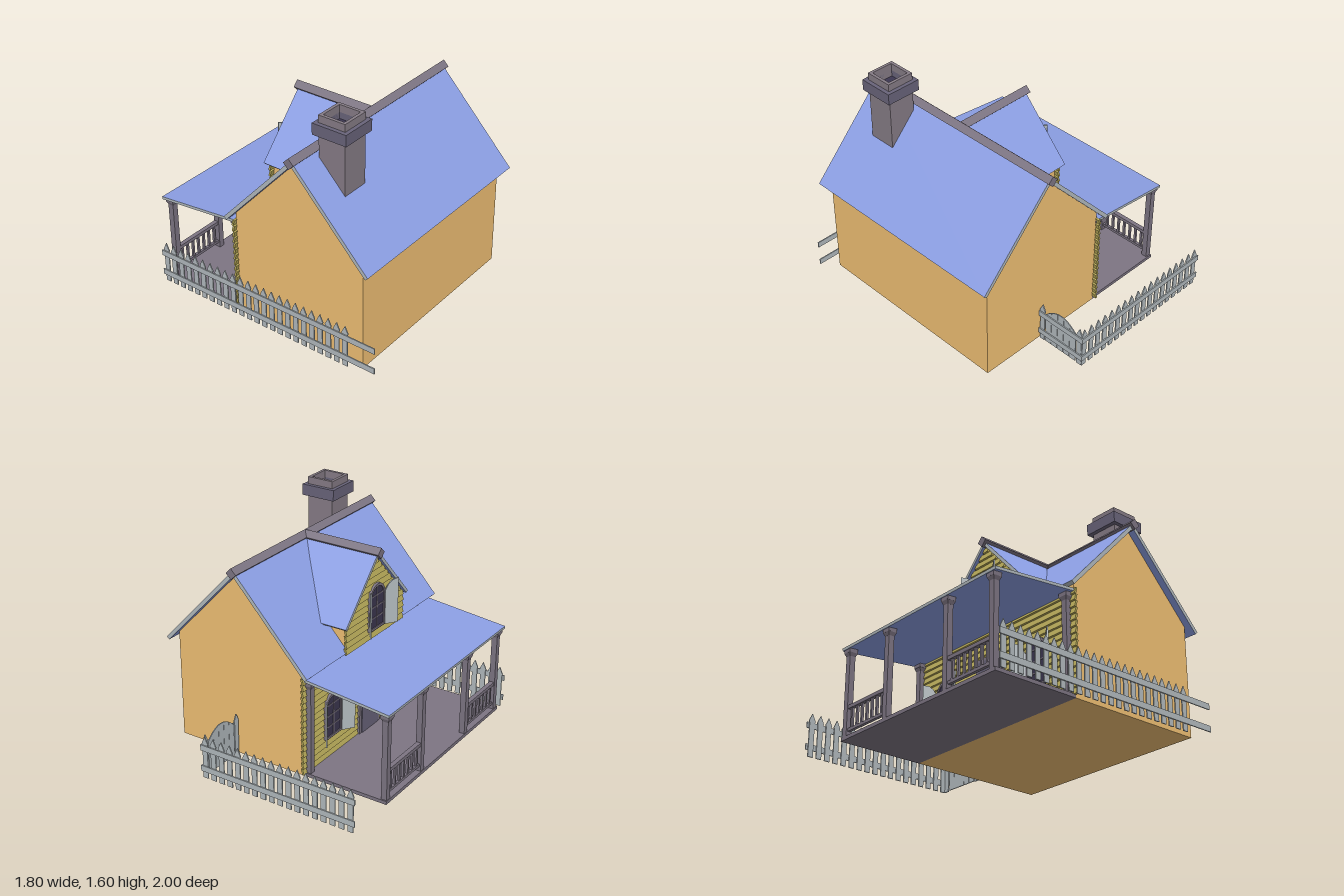
import * as THREE from 'three';

const mat = (color) => new THREE.MeshStandardMaterial({ color, flatShading: true });

export function createModel() {
  const M = {
    wall: mat(0xf0c074), siding: mat(0xbcae5c), roof: mat(0x8c9fe4), trim: mat(0xb2babe),
    wood: mat(0x7d7583), brick: mat(0x867c86), band: mat(0x69647a), glass: mat(0x3c3650),
  };
  const model = new THREE.Group();
  model.name = 'cottage';

  const add = (parent, name, geo, material, x = 0, y = 0, z = 0) => {
    const m = new THREE.Mesh(geo, material);
    m.name = name;
    m.position.set(x, y, z);
    parent.add(m);
    return m;
  };
  // box given by its limits
  const box = (parent, name, material, x1, x2, y1, y2, z1, z2) =>
    add(parent, name, new THREE.BoxGeometry(x2 - x1, y2 - y1, z2 - z1), material,
      (x1 + x2) / 2, (y1 + y2) / 2, (z1 + z2) / 2);
  const shapeOf = (pts) => new THREE.Shape(pts.map((p) => new THREE.Vector2(...p)));
  const extrude = (shape, depth) =>
    new THREE.ExtrudeGeometry(shape, { depth, bevelEnabled: false, curveSegments: 10 });
  const group = (name, parent = model, x = 0, y = 0, z = 0) => {
    const g = new THREE.Group();
    g.name = name;
    g.position.set(x, y, z);
    parent.add(g);
    return g;
  };

  // House body and main roof
  add(model, 'houseWalls', extrude(shapeOf(
    [[-0.25, 0], [0.77, 0], [0.77, 0.79], [0.26, 1.335], [-0.25, 0.79]]), 1.53), M.wall, 0, 0, -0.6);

  // sloping slab whose top runs from (x1,y1) to (x2,y2)
  const slab = (name, x1, y1, x2, y2, t, z1, z2) => {
    const a = Math.atan2(y2 - y1, x2 - x1);
    const geo = new THREE.BoxGeometry(Math.hypot(x2 - x1, y2 - y1), t, z2 - z1);
    const m = add(model, name, geo, [M.trim, M.trim, M.roof, M.roof, M.trim, M.trim],
      (x1 + x2) / 2 + Math.sin(a) * t / 2, (y1 + y2) / 2 - Math.cos(a) * t / 2, (z1 + z2) / 2);
    m.rotation.z = a;
  };
  slab('roofLeft', 0.26, 1.365, 0.84, 0.75, 0.027, -0.65, 0.98);
  slab('roofRight', -0.31, 0.75, 0.26, 1.365, 0.027, -0.65, 0.98);
  slab('porchRoof', -0.9, 0.66, -0.25, 0.727, 0.02, -0.615, 0.945);
  box(model, 'ridgeCap', M.wood, -0.028, 0.028, -0.028, 0.028, -0.67, 1.0).rotation.z = Math.PI / 4;
  model.children.at(-1).position.set(0.26, 1.35, 0.165);

  // Dormer
  const dormer = group('dormer', model, 0, 0, 0.16);
  const dWall = add(dormer, 'dormerWalls', extrude(shapeOf(
    [[-0.33, 0.72], [0.33, 0.72], [0.33, 0.97], [0, 1.325], [-0.33, 0.97]]), 0.44), M.wall, -0.295);
  dWall.rotation.y = Math.PI / 2;
  const run = 0.392, drop = 0.42, L = Math.hypot(run, drop);
  const panel = extrude(shapeOf([[-0.33, 0], [-0.33, -L], [-0.12, -L], [0.25, 0]]), 0.022);
  panel.translate(0, 0, -0.022);
  for (const s of [1, -1]) {
    const side = group('dormerRoofSide', dormer, 0, 1.36, 0);
    side.scale.z = s;
    add(side, 'dormerRoof', panel, [M.roof, M.trim]).rotation.x = -Math.atan2(run, drop);
  }
  const cap = box(dormer, 'dormerRidgeCap', M.wood, -0.35, 0.26, -0.028, 0.028, -0.028, 0.028);
  cap.position.y = 1.35;
  cap.rotation.x = Math.PI / 4;

  // Lapped siding boards; halfWidth depends on height
  const siding = (parent, name, x, y1, y2, rows, halfWidth) => {
    const h = (y2 - y1) / rows;
    for (let i = 0; i < rows; i++) {
      const y = y1 + i * h, w = halfWidth(y + h);
      if (w < 0.02) continue;
      add(parent, name, new THREE.BoxGeometry(0.014, h * 1.02, 2 * w), M.siding, x, y + h / 2, 0)
        .rotation.z = -0.28;
    }
  };
  siding(group('porchSiding', model, 0, 0, 0.1635), 'sidingBoard', -0.256, 0.02, 0.73, 16, () => 0.793);
  siding(dormer, 'dormerBoard', -0.306, 0.74, 1.32, 13, (y) => Math.min(0.36, (1.345 - y) * 0.93));

  // Arched windows with open shutters, built facing +z and turned to face -x
  const arch = (w, side, top) => {
    const s = new THREE.Shape();
    s.moveTo(-w, 0);
    s.lineTo(w, 0);
    s.lineTo(w, side);
    s.quadraticCurveTo(w * 0.75, top, 0, top);
    s.quadraticCurveTo(-w * 0.75, top, -w, side);
    return s;
  };
  const shutterShape = shapeOf([[0, 0], [0.095, 0], [0.095, 0.33], [0.05, 0.318], [0.02, 0.29], [0, 0.25]]);
  const addWindow = (x, y, z) => {
    const w = group('window', model, x, y, z);
    w.rotation.y = -Math.PI / 2;
    const frame = arch(0.095, 0.25, 0.33);
    const hole = arch(0.08, 0.245, 0.312);
    frame.holes.push(new THREE.Path(hole.getPoints(10).map((p) => p.setY(Math.max(p.y, 0.016)))));
    add(w, 'windowFrame', extrude(frame, 0.022), M.wood);
    add(w, 'windowPane', extrude(arch(0.085, 0.247, 0.32), 0.015), M.glass);
    box(w, 'windowBar', M.wood, -0.004, 0.004, 0.01, 0.32, 0.012, 0.019);
    for (const by of [0.09, 0.17, 0.25]) box(w, 'windowBar', M.wood, -0.085, 0.085, by - 0.004, by + 0.004, 0.012, 0.019);
    for (const s of [1, -1]) {
      const half = group('shutterHinge', w);
      half.scale.x = s;
      add(half, 'shutter', extrude(shutterShape, 0.01), M.trim, 0.095, 0, 0.018).rotation.y = -0.6;
    }
  };
  addWindow(-0.308, 0.8, 0.16);
  addWindow(-0.26, 0.17, -0.29);
  addWindow(-0.26, 0.17, 0.61);

  // Front door
  box(model, 'doorFrame', M.wood, -0.28, -0.25, 0.02, 0.53, 0.03, 0.29);
  box(model, 'door', M.band, -0.285, -0.25, 0.02, 0.505, 0.055, 0.265);

  // Porch floor, posts and railings
  box(model, 'porchFloor', M.wood, -0.885, -0.25, 0, 0.025, -0.6, 0.93);
  const post = (x, z, top) => {
    const p = group('porchPost', model, x, 0, z);
    box(p, 'postShaft', M.wood, -0.021, 0.021, 0, top, -0.021, 0.021);
    box(p, 'postTop', M.wood, -0.032, 0.032, top - 0.03, top, -0.032, 0.032);
    add(p, 'postFlare', new THREE.CylinderGeometry(0.045, 0.03, 0.025, 4), M.wood, 0, top - 0.042, 0)
      .rotation.y = Math.PI / 4;
  };
  for (const z of [-0.57, -0.14, 0.46, 0.89]) post(-0.86, z, 0.647);
  for (const z of [-0.57, 0.89]) post(-0.277, z, 0.705);
  for (const z0 of [-0.57, 0.46]) {
    const rail = group('porchRailing', model, -0.86, 0, z0);
    box(rail, 'topRail', M.wood, -0.016, 0.016, 0.215, 0.24, 0, 0.43);
    box(rail, 'bottomRail', M.wood, -0.011, 0.011, 0.06, 0.08, 0, 0.43);
    for (let i = 1; i < 8; i++) {
      const z = i * 0.43 / 8;
      box(rail, 'baluster', M.wood, -0.008, 0.008, 0.07, 0.22, z - 0.008, z + 0.008);
    }
  }

  // Chimney with a hollow top
  const tube = (name, material, outer, inner, y, h) => {
    const sq = (r) => [[-r, -r], [r, -r], [r, r], [-r, r]];
    const s = shapeOf(sq(outer));
    s.holes.push(new THREE.Path(sq(inner).map((p) => new THREE.Vector2(...p))));
    add(model, name, extrude(s, h), material, 0.41, y, 0.665).rotation.x = -Math.PI / 2;
  };
  box(model, 'chimneyStack', M.brick, 0.31, 0.51, 1.08, 1.5, 0.563, 0.767);
  tube('chimneyBand', M.band, 0.13, 0.08, 1.47, 0.08);
  tube('chimneyRim', M.brick, 0.102, 0.08, 1.49, 0.112);
  box(model, 'chimneyFlue', M.glass, 0.33, 0.49, 1.49, 1.505, 0.585, 0.745);

  // Picket fences: pickets behind, rails on the outside
  const picket = extrude(shapeOf([[-0.02, 0.005], [0.02, 0.005], [0.02, 0.245], [0.025, 0.262],
    [0, 0.315], [-0.025, 0.262], [-0.02, 0.245]]), 0.008);
  const fence = (name, x1, x2, picketXs) => {
    const f = group(name);
    for (const y of [0.055, 0.21]) box(f, 'fenceRail', M.trim, x1, x2, y, y + 0.042, 0, 0.008);
    for (const x of picketXs) add(f, 'picket', picket, M.trim, x, 0, -0.008);
    return f;
  };
  const row = (n) => Array.from({ length: n }, (_, i) => -0.865 + i * 0.0665);
  fence('frontFence', -0.9, 0.9, row(24)).position.z = 0.98;
  const back = fence('backFence', -0.9, 0.297, row(18));
  back.position.z = -0.992;
  back.scale.z = -1;

  // Side fence with an arched plank gate
  const gate = fence('gate', 0.605, 0.995, [0.632, 0.963]);
  gate.position.x = 0.288;
  gate.rotation.y = Math.PI / 2;
  const archY = (x) => 0.32 - 0.075 * ((x - 0.797) / 0.138) ** 2;
  for (let i = 0; i < 5; i++) {
    const a = 0.66 + i * 0.055, b = a + 0.053, m = (a + b) / 2;
    add(gate, 'gatePlank', extrude(shapeOf(
      [[a, 0.01], [b, 0.01], [b, archY(b)], [m, archY(m)], [a, archY(a)]]), 0.007), M.trim, 0, 0, -0.007);
  }
  return model;
}
